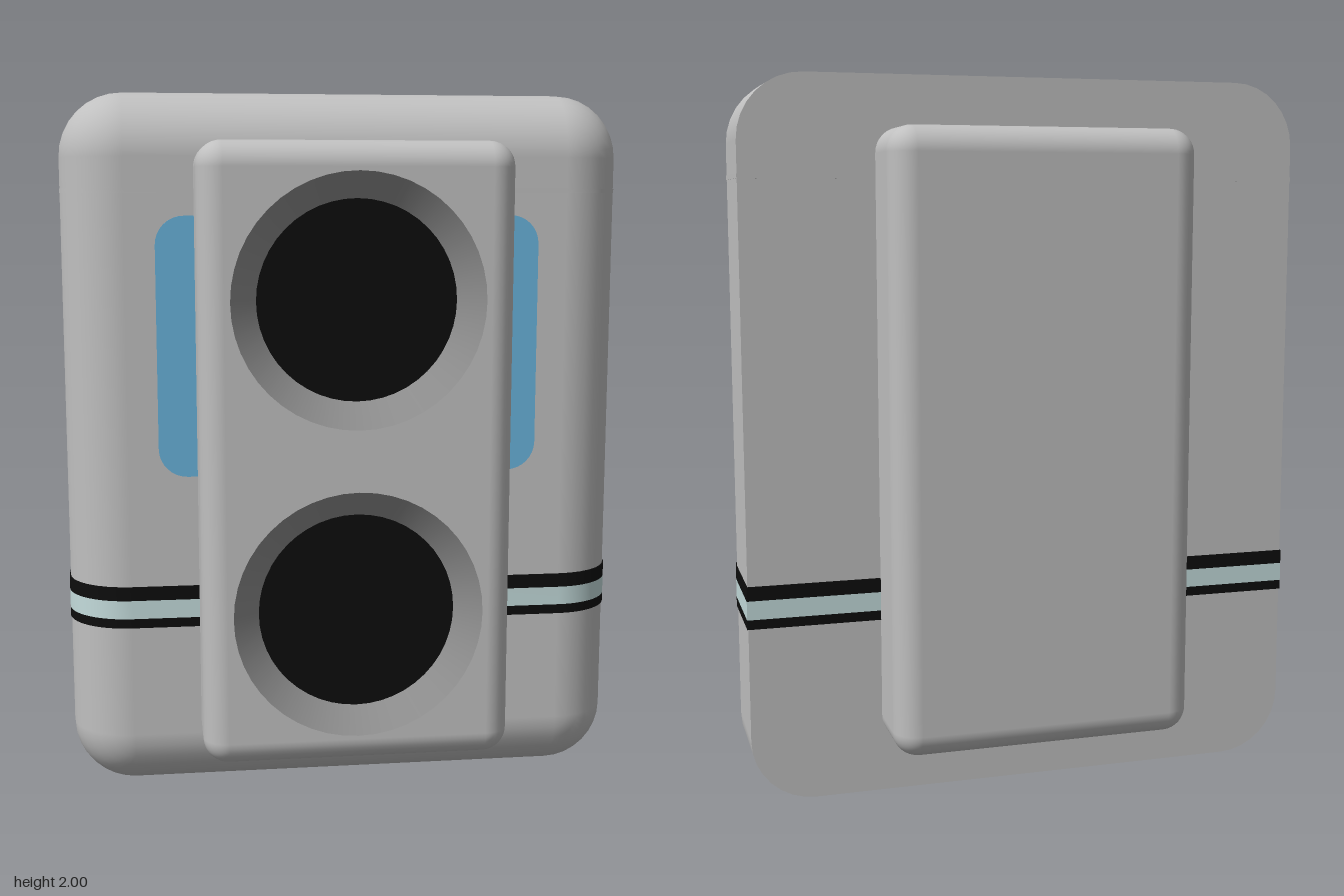
import * as THREE from 'three';
import { toCreasedNormals } from 'three/addons/utils/BufferGeometryUtils.js';

const ARC = 8; // segments per quarter turn

// Points of a rounded rectangle, counter-clockwise, with their corner angles
function outline(w, h, r, inner = r) {
  const points = [];
  [[1, 1], [-1, 1], [-1, -1], [1, -1]].forEach(([sx, sy], k) => {
    for (let i = 0; i <= ARC; i++) {
      const a = (k + i / ARC) * Math.PI / 2;
      points.push({
        a,
        x: sx * (w / 2 - r) + inner * Math.cos(a),
        y: sy * (h / 2 - r) + inner * Math.sin(a),
      });
    }
  });
  return points;
}

function roundedRect(w, h, r) {
  return new THREE.Shape(outline(w, h, r).map(p => new THREE.Vector2(p.x, p.y)));
}

function rect(w, h) {
  return new THREE.Shape([[-1, -1], [1, -1], [1, 1], [-1, 1]]
    .map(([x, y]) => new THREE.Vector2(x * w / 2, y * h / 2)));
}

// Open wall of a rounded box; each ring is [tilt angle, z]
function roundedWall(w, h, r, rings) {
  const pos = [], nor = [], idx = [];
  const n = 4 * (ARC + 1);
  rings.forEach(([t, z], i) => {
    outline(w, h, r, r * Math.cos(t)).forEach((p, j) => {
      pos.push(p.x, p.y, z);
      nor.push(Math.cos(p.a) * Math.cos(t), Math.sin(p.a) * Math.cos(t), Math.sin(t));
      if (i < rings.length - 1) {
        const a = i * n + j, b = i * n + (j + 1) % n;
        idx.push(a, b, b + n, a, b + n, a + n);
      }
    });
  });
  const g = new THREE.BufferGeometry();
  g.setAttribute('position', new THREE.Float32BufferAttribute(pos, 3));
  g.setAttribute('normal', new THREE.Float32BufferAttribute(nor, 3));
  g.setIndex(idx);
  return g;
}

// Quarter-round edge, from the wall to the flat face at z = face
function edgeRings(r, face) {
  const rings = [];
  for (let i = 0; i <= ARC; i++) {
    const t = i / ARC * Math.PI / 2;
    rings.push([t, face - r + r * Math.sin(t)]);
  }
  return rings;
}

export function createModel() {
  const material = (name, color, side = THREE.FrontSide) => {
    const m = new THREE.MeshStandardMaterial({ color, side });
    m.name = name;
    return m;
  };
  const grey = material('light grey', 0xc0c0c0);
  const rimGrey = material('rim grey', 0x929292, THREE.DoubleSide);
  const black = material('black', 0x0d0d0d);
  const pale = material('pale aqua', 0xc4dcdc);
  const blue = material('blue', 0x69b3dc);

  const model = new THREE.Group();
  model.name = 'twinLensPanel';
  const add = (name, geometry, mat, parent, x = 0, y = 0, z = 0) => {
    const m = new THREE.Mesh(geometry, mat);
    m.name = name;
    m.position.set(x, y, z);
    parent.add(m);
    return m;
  };

  // Body: rounded front, square-cut back
  const W = 1.6, R = 0.18, BACK = -0.22, FRONT = 0.215;
  const body = new THREE.Group();
  body.name = 'body';
  body.position.y = 1;
  model.add(body);
  add('bodyWall', roundedWall(W, 2, R, [[0, BACK], ...edgeRings(R, FRONT)]), grey, body);
  add('bodyFront', new THREE.ShapeGeometry(rect(W - 2 * R, 2 - 2 * R)), grey, body, 0, 0, FRONT);
  add('bodyBack', new THREE.ShapeGeometry(roundedRect(W, 2, R)).rotateY(Math.PI), grey, body, 0, 0, BACK);

  // Thin bands wrapped around the body
  const band = (name, y0, y1, mat, out) => {
    const x = W / 2 + out, f = -FRONT - out, b = -BACK + out, r = R + out;
    const s = new THREE.Shape();
    s.moveTo(x, b);
    s.lineTo(-x, b);
    s.lineTo(-x, f + r);
    s.absarc(-x + r, f + r, r, Math.PI, 1.5 * Math.PI, false);
    s.lineTo(x - r, f);
    s.absarc(x - r, f + r, r, 1.5 * Math.PI, 2 * Math.PI, false);
    s.closePath();
    const g = new THREE.ExtrudeGeometry(s, { depth: y1 - y0, bevelEnabled: false, curveSegments: 12 });
    g.rotateX(-Math.PI / 2);
    add(name, toCreasedNormals(g, 0.6), mat, model, 0, y0, 0);
  };
  band('lowerStripe', 0.5, 0.527, black, 0.003);
  band('middleStripe', 0.527, 0.58, pale, 0.003);
  band('upperStripe', 0.58, 0.62, black, 0.003);
  band('seam', 1.722, 1.734, grey, 0.001);

  // Blue window behind the lens block
  add('window', new THREE.ExtrudeGeometry(roundedRect(1.075, 0.725, 0.08),
    { depth: 0.008, bevelEnabled: false }), blue, model, 0, 1.298, FRONT - 0.002);

  // Lens block running through the body
  const BW = 0.86, BH = 1.71, BR = 0.07, BZ = 0.43, BY = 1.005;
  const block = new THREE.Group();
  block.name = 'lensBlock';
  block.position.y = BY;
  model.add(block);
  const front = edgeRings(BR, BZ);
  const back = front.map(([t, z]) => [-t, -z]).reverse();
  add('blockWall', roundedWall(BW, BH, BR, [...back, ...front]), grey, block);
  add('blockBack', new THREE.ShapeGeometry(rect(BW - 2 * BR, BH - 2 * BR)).rotateY(Math.PI),
    grey, block, 0, 0, -BZ);

  // Front face with two round recesses
  const face = rect(BW - 2 * BR, BH - 2 * BR);
  const DEPTH = 0.055, OUTER = 0.345, INNER = 0.273;
  for (const [name, y] of [['upperLens', 0.43], ['lowerLens', -0.43]]) {
    const hole = new THREE.Path();
    hole.absarc(0, y, OUTER, 0, 2 * Math.PI, true);
    face.holes.push(hole);
    const lens = new THREE.Group();
    lens.name = name;
    lens.position.set(0, y, BZ);
    block.add(lens);
    add('rim', new THREE.CylinderGeometry(OUTER, INNER, DEPTH, 48, 1, true).rotateX(Math.PI / 2),
      rimGrey, lens, 0, 0, -DEPTH / 2);
    add('glass', new THREE.CircleGeometry(INNER, 48), black, lens, 0, 0, -DEPTH);
  }
  add('blockFront', new THREE.ShapeGeometry(face, 24), grey, block, 0, 0, BZ);

  return model;
}
